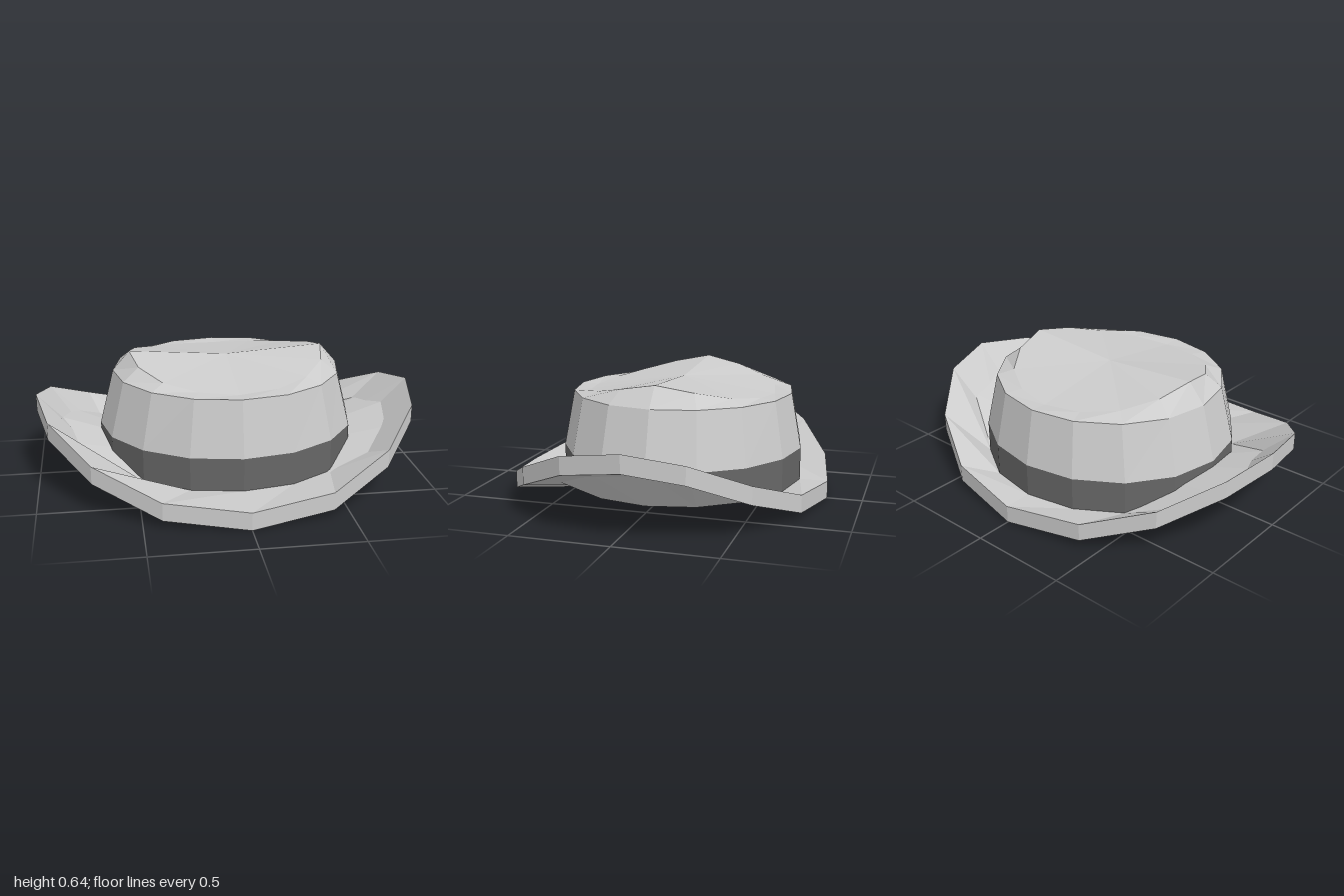
import * as THREE from 'three';

const SIDES = 16, CENTRE_Z = -0.05;

// Value at side i from five quarter values (front/back end -> side), mirrored all round
const quarter = (table, i) => {
  const k = i % 8;
  return table[k <= 4 ? k : 8 - k];
};

// Elliptical ring of points, level or with a height per quarter step
function ring(rx, rz, y) {
  return Array.from({ length: SIDES }, (_, i) => {
    const t = (i / SIDES) * Math.PI * 2;
    const h = Array.isArray(y) ? quarter(y, i) : y;
    return [rx * Math.sin(t), h, CENTRE_Z + rz * Math.cos(t)];
  });
}

// Brim outline: longer at the front than at the back, sides swept up
function brimRing(lift) {
  const xs = [0, 0.41, 0.73, 0.935, 1], zs = [1, 0.91, 0.685, 0.36, 0];
  const ys = [0, 0.04, 0.16, 0.287, 0.335];
  return Array.from({ length: SIDES }, (_, i) => {
    const front = i <= 4 || i >= 12;
    const x = quarter(xs, i) * (i <= 8 ? 1 : -1);
    const z = quarter(zs, i) * (front ? 0.87 : -0.77);
    return [x, quarter(ys, i) + lift, CENTRE_Z + z];
  });
}

const point = (y) => Array.from({ length: SIDES }, () => [0, y, CENTRE_Z]);

// Skin a list of rings with flat facets
function loft(name, rings, color = 0xcccccc) {
  const pos = [];
  const same = (p, q) => p.every((v, k) => v === q[k]);
  const tri = (a, b, c) => {
    if (!same(a, b) && !same(b, c) && !same(c, a)) pos.push(...a, ...b, ...c);
  };
  for (let r = 0; r < rings.length - 1; r++) {
    const a = rings[r], b = rings[r + 1];
    for (let i = 0; i < SIDES; i++) {
      const j = (i + 1) % SIDES;
      tri(a[i], a[j], b[j]);
      tri(a[i], b[j], b[i]);
    }
  }
  const geo = new THREE.BufferGeometry();
  geo.setAttribute('position', new THREE.Float32BufferAttribute(pos, 3));
  geo.computeVertexNormals();
  const mesh = new THREE.Mesh(geo, new THREE.MeshStandardMaterial({
    color, flatShading: true, side: THREE.DoubleSide,
  }));
  mesh.name = name;
  return mesh;
}

export function createModel() {
  const hat = new THREE.Group();
  hat.name = 'hat';
  const base = ring(0.67, 0.625, 0.09);
  const bandTop = ring(0.67, 0.625, 0.257);

  // Underside fan, rim edge and upper face down to the crown base
  hat.add(loft('brim', [point(0), brimRing(0), brimRing(0.09), base]));

  // Dark band round the foot of the crown
  hat.add(loft('hatBand', [base, bandTop], 0x666666));

  // Tapered crown with a raised ridge at each side and a creased top
  hat.add(loft('crown', [
    bandTop,
    ring(0.597, 0.573, 0.54),
    ring(0.51, 0.485, [0.535, 0.545, 0.567, 0.605, 0.64]),
    point(0.605),
  ]));
  return hat;
}
